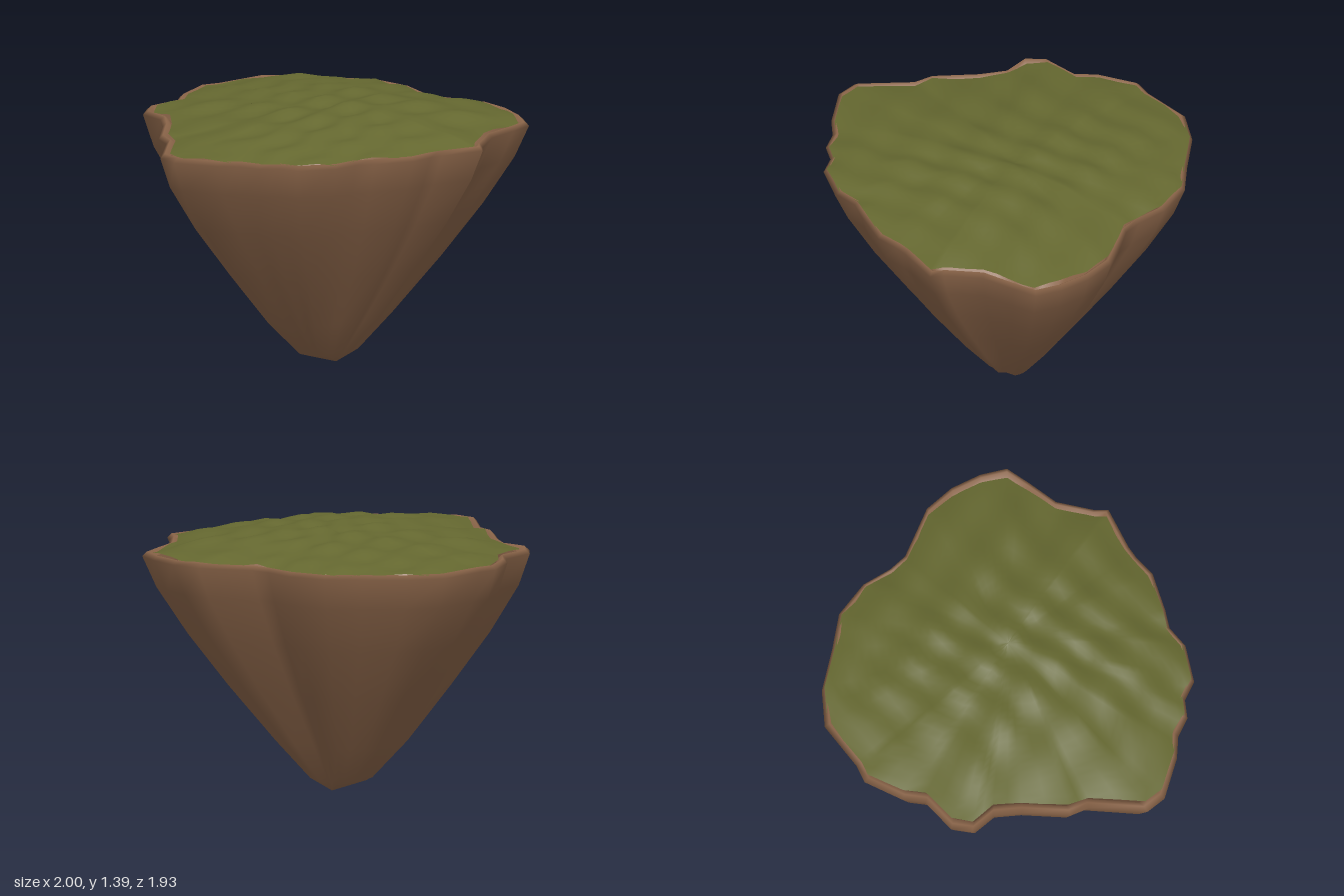
import * as THREE from 'three';

const rock = new THREE.MeshStandardMaterial({ color: 0x8b6549, side: THREE.DoubleSide });
rock.name = 'brown rock';
const grass = new THREE.MeshStandardMaterial({ color: 0x656830, side: THREE.DoubleSide });
grass.name = 'mossy green';

// Island outline as [x, z] corners, running from +x towards +z
const outline = [
  [1, 0.02], [0.92, 0.13], [0.81, 0.27], [0.78, 0.39], [0.76, 0.47], [0.76, 0.54], [0.55, 0.64],
  [0.49, 0.68], [0.4, 0.76], [0.2, 0.82], [0.1, 0.84], [0, 0.92], [-0.2, 0.96], [-0.3, 0.91],
  [-0.4, 0.92], [-0.5, 0.87], [-0.62, 0.86], [-0.84, 0.79], [-0.91, 0.7], [-0.88, 0.4],
  [-0.92, 0.3], [-0.9, 0.05], [-0.91, -0.1], [-1, -0.21], [-0.98, -0.32], [-0.83, -0.45],
  [-0.81, -0.57], [-0.71, -0.76], [-0.62, -0.8], [-0.4, -0.96], [-0.2, -0.97], [0.03, -0.91],
  [0.22, -0.87], [0.38, -0.74], [0.46, -0.6], [0.53, -0.52], [0.79, -0.4], [0.9, -0.27], [0.97, -0.12],
];

// Insert the midpoint of every edge
function refine(points) {
  return points.flatMap((p, i) => {
    const q = points[(i + 1) % points.length];
    return [p, [(p[0] + q[0]) / 2, (p[1] + q[1]) / 2]];
  });
}

// Skin a stack of closed rings, each placed by a rule (ring, corner) -> [x, y, z]
function loft(name, corners, ringCount, place, material) {
  const n = corners.length;
  const positions = [];
  const index = [];
  for (let r = 0; r < ringCount; r++) {
    for (let i = 0; i < n; i++) {
      positions.push(...place(r, corners[i]));
      if (r === ringCount - 1) continue;
      const a = r * n + i, b = r * n + (i + 1) % n;
      index.push(a, a + n, b, b, a + n, b + n);
    }
  }
  const geometry = new THREE.BufferGeometry();
  geometry.setAttribute('position', new THREE.Float32BufferAttribute(positions, 3));
  geometry.setIndex(index);
  geometry.computeVertexNormals();
  const mesh = new THREE.Mesh(geometry, material);
  mesh.name = name;
  return mesh;
}

// Gentle dome with diagonal ripples, t = 0 in the middle and 1 at the edge
function turfHeight(x, z, t) {
  const dome = 0.085 * (1 - t * t);
  const ripple = 0.011 * Math.sin(19 * (x + z) + 2 * Math.sin(4 * x))
    + 0.007 * Math.sin(13 * x - 17 * z) + 0.005 * Math.sin(31 * z + 9 * x);
  return 1.287 + dome + ripple * (1 - 0.45 * t) + 0.02 * (x + z) * (1 - t);
}

export function createModel() {
  const island = new THREE.Group();
  island.name = 'floatingIsland';

  // Fluted underside: height, scale of the outline, sideways shift
  const profile = [
    [0, 0.001, 0], [0.07, 0.16, -0.045], [0.27, 0.34, -0.045], [0.57, 0.575, -0.03],
    [0.85, 0.78, -0.02], [1.1, 0.935, -0.01], [1.265, 1, 0], [1.288, 0.975, 0], [1.26, 0.94, 0],
  ];
  island.add(loft('rockUnderside', outline, profile.length, (r, [x, z]) => {
    const [y, s, shift] = profile[r];
    return [x * s + shift, y, z * s];
  }, rock));

  // Rippled turf, built from its edge inwards
  const rings = 22;
  island.add(loft('grassTop', refine(outline), rings, (r, [cx, cz]) => {
    const t = Math.max(1 - r / (rings - 1), 0.001);
    const x = cx * 0.945 * t, z = cz * 0.985 * t;
    return [x, turfHeight(x, z, t), z];
  }, grass));

  return island;
}
